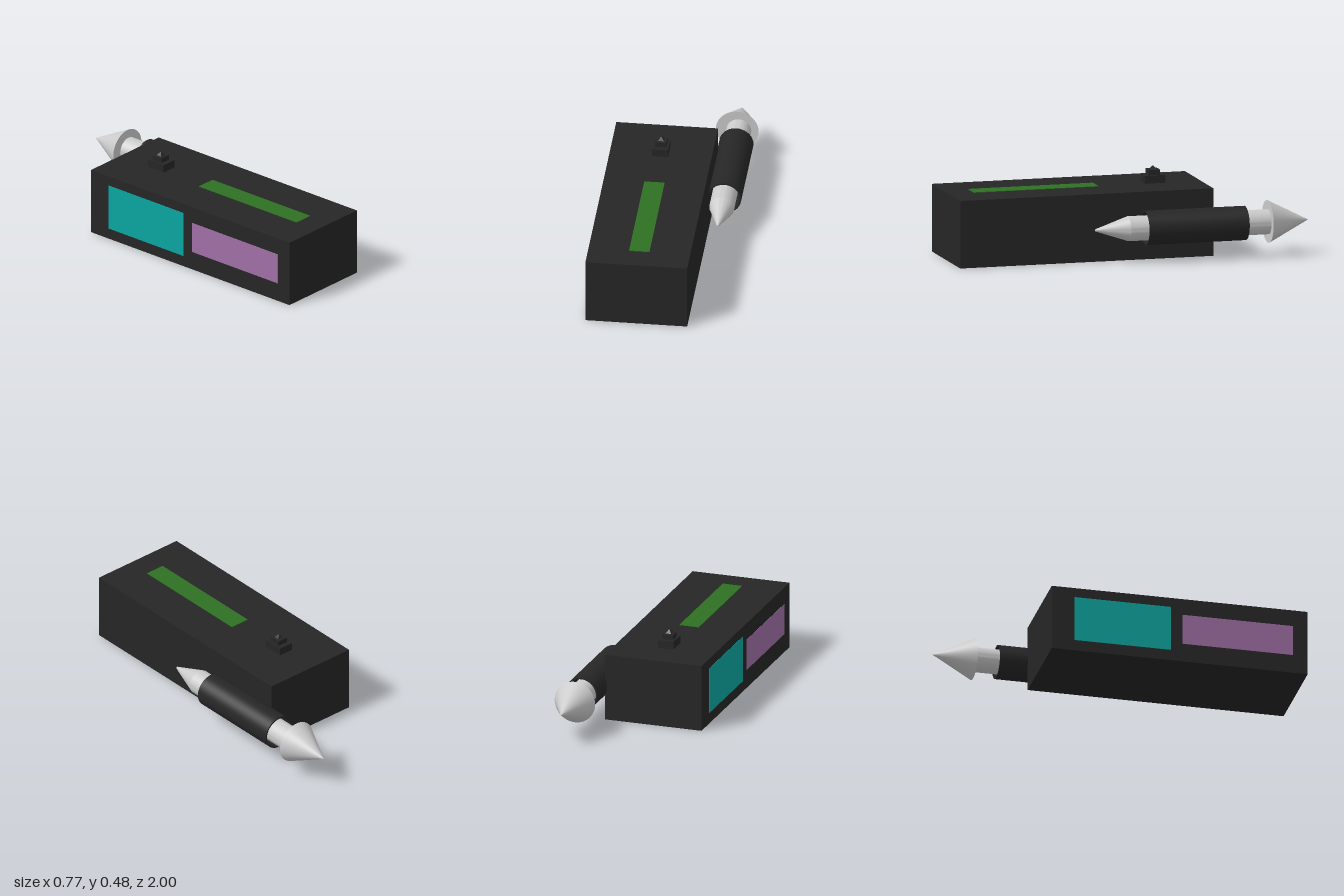
import * as THREE from 'three';
import { toCreasedNormals } from 'three/addons/utils/BufferGeometryUtils.js';

export function createModel() {
  const model = new THREE.Group();
  const mat = (color) => new THREE.MeshStandardMaterial({ color });
  const dark = mat(0x262626);
  const grey = mat(0xcccccc);

  const add = (name, geometry, material, parent = model) => {
    const mesh = new THREE.Mesh(geometry, material);
    mesh.name = name;
    parent.add(mesh);
    return mesh;
  };

  // Box given by its lower and upper corners
  const box = (name, [x0, y0, z0], [x1, y1, z1], material, parent) =>
    add(name, new THREE.BoxGeometry(x1 - x0, y1 - y0, z1 - z0), material, parent)
      .position.set((x0 + x1) / 2, (y0 + y1) / 2, (z0 + z1) / 2);

  // Round part along z: profile points are [radius, z], with z increasing on the outside
  const turned = (name, x, profile, material, parent) => {
    const points = profile.map(([r, z]) => new THREE.Vector2(r, z));
    const geometry = toCreasedNormals(new THREE.LatheGeometry(points, 48), 0.3);
    geometry.rotateX(Math.PI / 2);
    add(name, geometry, material, parent).position.set(x, 0.193, 0);
  };

  // Long block with thin coloured panels on its top and right side
  box('body', [-0.382, 0, -0.47], [0.19, 0.383, 1], dark);
  box('topPanel', [-0.154, 0.37, 0.13], [-0.039, 0.386, 0.855], mat(0x2d7122));
  box('largeSidePanel', [-0.384, 0.063, -0.34], [-0.37, 0.327, 0.215], mat(0x0aa6a0));
  box('smallSidePanel', [-0.384, 0.108, 0.28], [-0.37, 0.286, 0.915], mat(0xa06fa6));

  // Stepped knob with a small peak
  const knob = new THREE.Group();
  knob.name = 'knob';
  model.add(knob);
  box('knobBase', [-0.142, 0.37, -0.262], [-0.052, 0.428, -0.142], dark, knob);
  box('knobStep', [-0.129, 0.42, -0.235], [-0.064, 0.457, -0.169], dark, knob);
  const peak = new THREE.CylinderGeometry(0.004, 0.025, 0.02, 4, 1).rotateY(Math.PI / 4).toNonIndexed();
  peak.computeVertexNormals();
  add('knobPeak', peak, dark, knob).position.set(-0.097, 0.466, -0.202);

  // Rocket carried in an open tube on the left side
  const rocket = new THREE.Group();
  rocket.name = 'rocket';
  model.add(rocket);
  turned('launchTube', 0.274,
    [[0.088, -0.63], [0.096, -0.63], [0.096, -0.05], [0.088, -0.05], [0.088, -0.63]], dark, rocket);
  turned('rocketShaft', 0.272,
    [[0, -0.77], [0.07, -0.77], [0.07, 0.05], [0.006, 0.24], [0, 0.24]], grey, rocket);
  turned('rearCone', 0.263, [[0, -1], [0.12, -0.765], [0, -0.765]], grey, rocket);

  return model;
}
